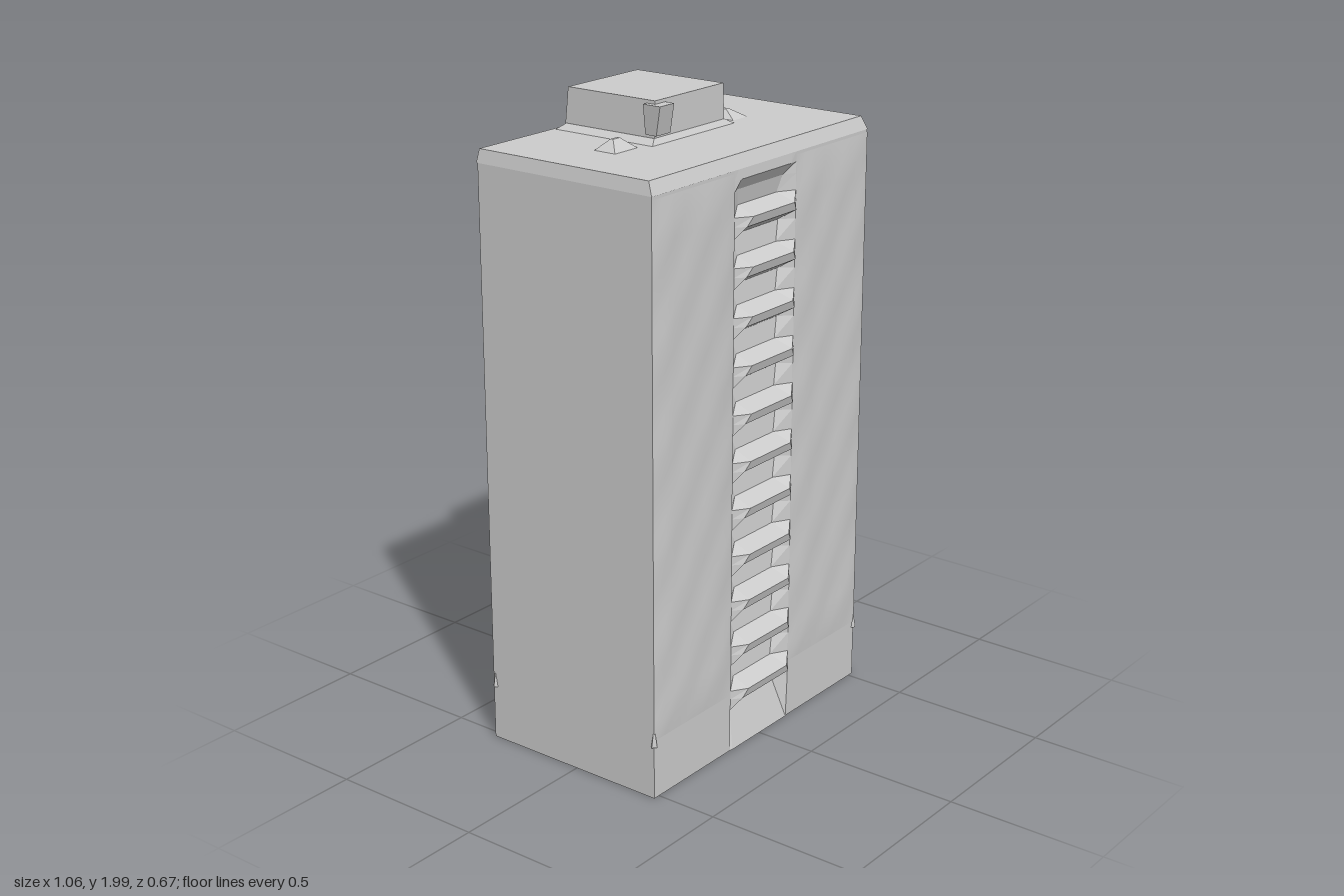
import * as THREE from 'three';

const mat = new THREE.MeshStandardMaterial({ color: 0xcccccc });
const flat = new THREE.MeshStandardMaterial({ color: 0xcccccc, flatShading: true, side: THREE.DoubleSide });

function add(group, name, geometry, material = flat) {
  const mesh = new THREE.Mesh(geometry, material);
  mesh.name = name;
  group.add(mesh);
  return mesh;
}

// Box between two rectangles [x0, x1, z0, z1], one at y0 and one at y1
function frustum(y0, y1, low, high) {
  const g = new THREE.BoxGeometry(1, 1, 1);
  const p = g.attributes.position;
  for (let i = 0; i < p.count; i++) {
    const up = p.getY(i) > 0;
    const r = up ? high : low;
    p.setXYZ(i, p.getX(i) > 0 ? r[1] : r[0], up ? y1 : y0, p.getZ(i) > 0 ? r[3] : r[2]);
  }
  g.computeVertexNormals();
  return g;
}

// Surface through rows of equally many points, rows running upward
function skin(rows) {
  const n = rows[0].length, index = [];
  for (let r = 0; r < rows.length - 1; r++) {
    for (let c = 0; c < n - 1; c++) {
      const a = r * n + c, b = a + n;
      index.push(a, a + 1, b + 1, a, b + 1, b);
    }
  }
  const g = new THREE.BufferGeometry();
  g.setAttribute('position', new THREE.Float32BufferAttribute(rows.flat(2), 3));
  g.setIndex(index);
  g.computeVertexNormals();
  return g;
}

export function createModel() {
  const group = new THREE.Group();

  // Tower block, with a slot in the front for the balcony column
  const plan = new THREE.Shape([
    [-0.522, 0.332], [-0.522, -0.3], [-0.15, -0.3], [-0.15, -0.245],
    [0.15, -0.245], [0.15, -0.3], [0.52, -0.3], [0.52, 0.332],
  ].map(([x, y]) => new THREE.Vector2(x, y)));
  const block = new THREE.ExtrudeGeometry(plan, { depth: 1.825, bevelEnabled: false });
  block.rotateX(-Math.PI / 2).translate(0, 0.01, 0);
  add(group, 'towerBlock', block);

  // Chamfered roof slab
  add(group, 'roofSlab', frustum(1.835, 1.875, [-0.524, 0.52, -0.335, 0.302], [-0.515, 0.508, -0.33, 0.285]));

  // Plinth ridge at the corners
  for (const s of [-1, 1]) {
    const rim = add(group, 'plinthRidge', new THREE.CylinderGeometry(0.001, 0.012, 0.06, 4));
    rim.position.set(s * 0.519, 0.215, -0.325);
    const front = add(group, 'plinthRidge', new THREE.CylinderGeometry(0.001, 0.012, 0.06, 4));
    front.position.set(s * 0.519, 0.21, 0.298);
  }

  // Front wall panels with shallow dimples in a floor-by-bay pattern
  for (const s of [-1, 1]) {
    const rows = [];
    for (let j = 0; j <= 26; j++) {
      const y = 0.2 + j * 0.0625, row = [];
      for (let i = 0; i <= 8; i++) {
        const x = s < 0 ? -0.522 + i * 0.0465 : 0.15 + i * 0.04625;
        const edge = i === 0 || i === 8 || j === 0 || j === 26;
        const bump = edge ? 0 : 0.005 + 0.004 * Math.sin(i * Math.PI / 2) * Math.cos(j * Math.PI / 2.4);
        row.push([x, y, 0.301 + bump]);
      }
      rows.push(row);
    }
    add(group, 'frontWall', skin(rows), mat);
  }

  // Balcony column: each profile point is [y, z, half width]
  const profile = [[0.01, 0.302, 0.14], [0.15, 0.265, 0.11]];
  for (let i = 0; i < 11; i++) {
    const y = 0.185 + i * 0.1485;
    profile.push([y, 0.324, 0.12], [y + 0.028, 0.332, 0.1]); // recess lintel and parapet
    profile.push([y + 0.05, 0.27, 0.095], [y + 0.112, 0.262, 0.115]); // sill and back wall
  }
  profile.splice(-1, 1, [1.77, 0.28, 0.11], [1.805, 0.303, 0.12], [1.835, 0.301, 0.13]);
  add(group, 'balconyColumn', skin(profile.map(([y, z, h]) => [
    [-0.15, y, 0.3], [-h, y, z], [h, y, z], [0.15, y, 0.3],
  ])));

  // Rooftop plant room with its flared foot and a ragged front corner
  add(group, 'plantRoomFoot', frustum(1.872, 1.892, [-0.2, 0.2, -0.325, 0.045], [-0.172, 0.16, -0.3, 0.03]));
  add(group, 'plantRoom', frustum(1.875, 2, [-0.172, 0.16, -0.305, 0.03], [-0.167, 0.155, -0.295, 0.03]));
  add(group, 'plantRoomCorner', frustum(1.9, 1.99, [-0.175, -0.11, 0, 0.04], [-0.185, -0.12, 0, 0.062]));

  // Small roof vents
  add(group, 'roofVent', frustum(1.873, 1.905, [-0.335, -0.23, -0.06, 0.02], [-0.295, -0.265, -0.03, -0.02]));
  add(group, 'roofVent', frustum(1.873, 1.897, [0.215, 0.29, -0.07, 0.025], [0.25, 0.265, -0.06, -0.03]));

  return group;
}
